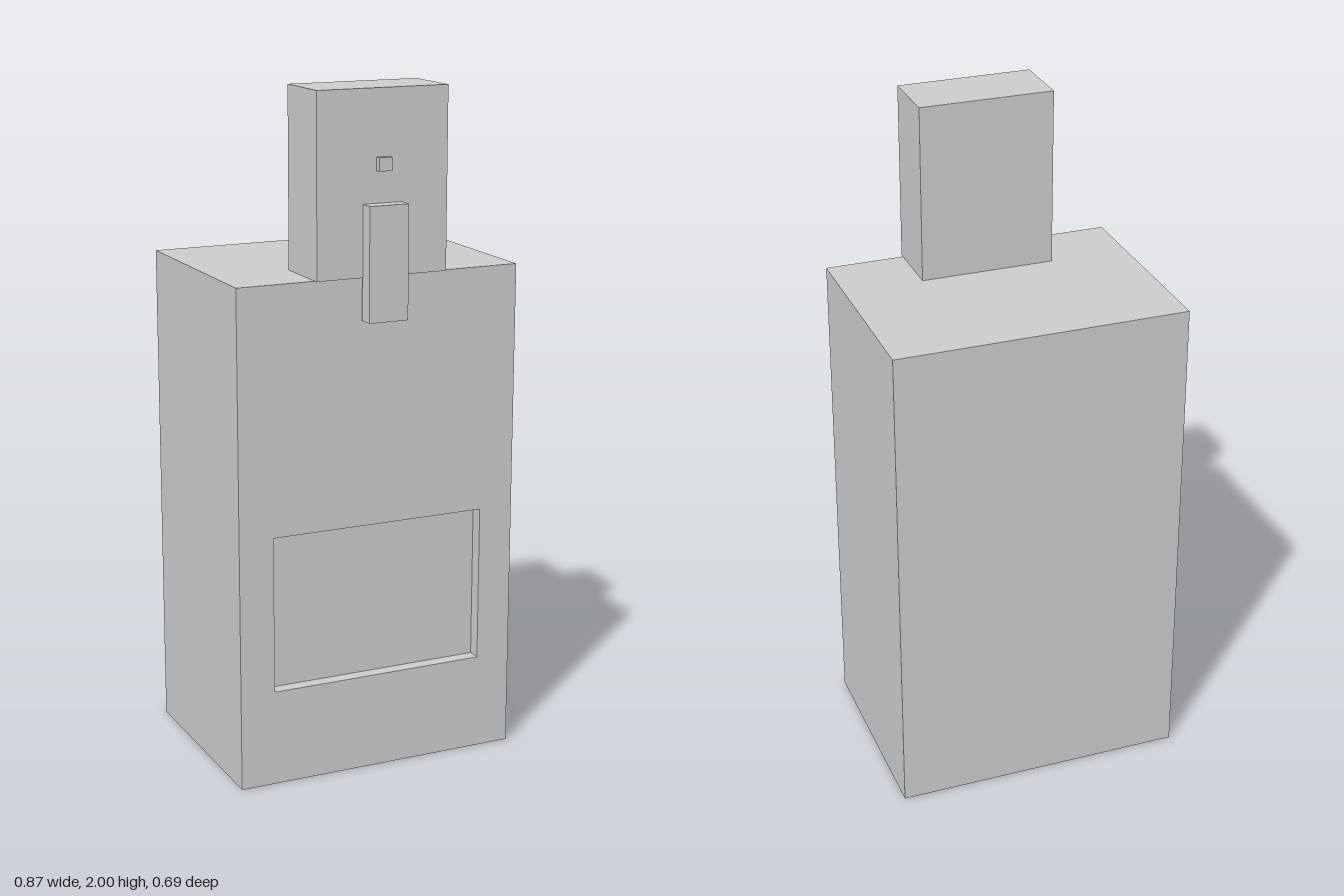
import * as THREE from 'three';

const material = new THREE.MeshStandardMaterial({ color: 0xcccccc, flatShading: true });

// Box given by its lower and upper limits on each axis
function box(name, [x0, x1], [y0, y1], [z0, z1]) {
  const mesh = new THREE.Mesh(new THREE.BoxGeometry(x1 - x0, y1 - y0, z1 - z0), material);
  mesh.position.set((x0 + x1) / 2, (y0 + y1) / 2, (z0 + z1) / 2);
  mesh.name = name;
  return mesh;
}

// Corners of a rectangle centred on x = 0
function rect(halfWidth, y0, y1) {
  return [[-halfWidth, y0], [halfWidth, y0], [halfWidth, y1], [-halfWidth, y1]]
    .map(([x, y]) => new THREE.Vector2(x, y));
}

export function createModel() {
  const model = new THREE.Group();
  model.name = 'dispenser';

  const halfWidth = 0.435, bodyTop = 1.477;
  const back = -0.346, front = 0.289, recessDepth = 0.04;

  // Cabinet: solid rear block and a front panel with the recess cut through it
  const cabinet = new THREE.Group();
  cabinet.name = 'cabinet';
  cabinet.add(box('cabinetBlock', [-halfWidth, halfWidth], [0, bodyTop], [back, front - recessDepth]));

  const panelShape = new THREE.Shape(rect(halfWidth, 0, bodyTop));
  panelShape.holes.push(new THREE.Path(rect(0.33, 0.285, 0.75)));
  const panel = new THREE.Mesh(
    new THREE.ExtrudeGeometry(panelShape, { depth: recessDepth, bevelEnabled: false }), material);
  panel.position.z = front - recessDepth;
  panel.name = 'recessedFrontPanel';
  cabinet.add(panel);
  model.add(cabinet);

  // Upright head at the front edge, slightly overhanging the cabinet
  model.add(box('head', [-0.2, 0.2], [bodyTop, 2], [0.107, 0.302]));

  // Spout plate and small button on the front of the head
  model.add(box('spout', [-0.06, 0.06], [1.355, 1.683], [0.298, 0.345]));
  model.add(box('button', [-0.02, 0.02], [1.773, 1.811], [0.298, 0.32]));

  return model;
}
